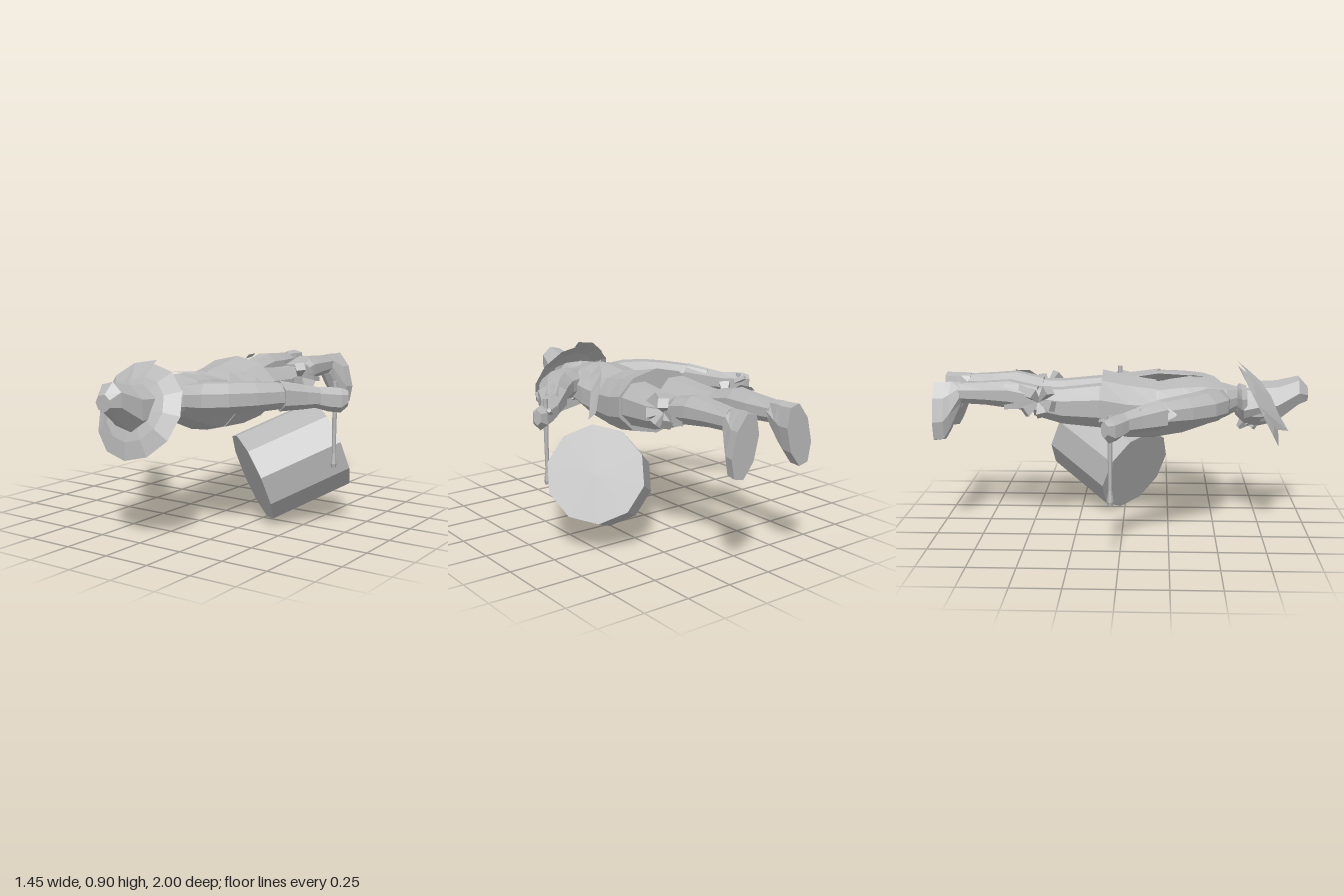
import * as THREE from 'three';

const V = (x, y, z) => new THREE.Vector3(x, y, z);
const UP = V(0, 1, 0);
const cloth = new THREE.MeshStandardMaterial({ color: 0xb8b8b8, flatShading: true, side: THREE.DoubleSide });
cloth.name = 'plain grey';

function add(parent, name, geometry) {
  const mesh = new THREE.Mesh(geometry, cloth);
  mesh.name = name;
  parent.add(mesh);
  return mesh;
}

// Skin elliptical rings [x, y, z, halfWidth, halfHeight]; dir fixes the ring plane,
// otherwise each ring follows the path.
function loft(rings, n = 8, dir = null, up = UP) {
  const grow = 1 / Math.cos(Math.PI / n), pos = [], idx = [];
  rings.forEach(([x, y, z, ru, rv], i) => {
    const a = rings[Math.max(i - 1, 0)], b = rings[Math.min(i + 1, rings.length - 1)];
    const d = dir || V(b[0] - a[0], 0, b[2] - a[2]).normalize();
    const u = up.clone().cross(d);
    for (let k = 0; k < n; k++) {
      const t = ((k + 0.5) / n) * Math.PI * 2;
      const p = V(x, y, z).addScaledVector(u, Math.cos(t) * ru * grow).addScaledVector(up, Math.sin(t) * rv * grow);
      pos.push(p.x, p.y, p.z);
    }
  });
  const last = (rings.length - 1) * n;
  for (let i = 0; i < rings.length - 1; i++) {
    for (let k = 0; k < n; k++) {
      const a = i * n + k, b = i * n + ((k + 1) % n);
      idx.push(a, b, b + n, a, b + n, a + n);
    }
  }
  for (let k = 1; k < n - 1; k++) idx.push(0, k + 1, k, last, last + k, last + k + 1);
  const g = new THREE.BufferGeometry();
  g.setAttribute('position', new THREE.Float32BufferAttribute(pos, 3));
  g.setIndex(idx);
  const flat = g.toNonIndexed();
  flat.computeVertexNormals();
  return flat;
}

// Tapered cylinder between two points
function rod(parent, name, a, b, ra, rb, n) {
  const d = b.clone().sub(a);
  const mesh = add(parent, name, new THREE.CylinderGeometry(rb, ra, d.length(), n));
  mesh.position.copy(a).add(b).multiplyScalar(0.5);
  mesh.quaternion.setFromUnitVectors(UP, d.normalize());
  return mesh;
}

// Flat band along pairs of edge points
function band(parent, name, pairs) {
  const pos = [];
  for (let i = 0; i < pairs.length - 1; i++) {
    const [a, b] = pairs[i], [c, d] = pairs[i + 1];
    pos.push(...a, ...b, ...d, ...a, ...d, ...c);
  }
  const g = new THREE.BufferGeometry();
  g.setAttribute('position', new THREE.Float32BufferAttribute(pos, 3));
  g.computeVertexNormals();
  return add(parent, name, g);
}

function makeSide(s) {
  const side = new THREE.Group();
  side.name = s > 0 ? 'leftLimbs' : 'rightLimbs';
  const flip = (rings) => rings.map(([x, ...r]) => [x * s, ...r]);
  const back = V(0, 0, -1);

  // Breeches, stocking and shoe with the toes turned out
  add(side, 'thigh', loft(flip([
    [0.11, 0.685, 0.0, 0.09, 0.105], [0.127, 0.69, -0.12, 0.108, 0.112],
    [0.135, 0.69, -0.32, 0.093, 0.092], [0.137, 0.71, -0.47, 0.072, 0.07]]), 8, back));
  add(side, 'calf', loft(flip([
    [0.14, 0.725, -0.45, 0.074, 0.066], [0.14, 0.752, -0.6, 0.076, 0.072],
    [0.135, 0.755, -0.73, 0.067, 0.06], [0.14, 0.755, -0.87, 0.05, 0.053]]), 8, back));
  add(side, 'shoe', loft(flip([
    [0.14, 0.752, -0.86, 0.05, 0.058], [0.158, 0.69, -0.915, 0.06, 0.125],
    [0.168, 0.662, -0.945, 0.066, 0.15], [0.174, 0.66, -1, 0.07, 0.154]]),
  8, back, V(-0.24 * s, 0.97, 0)));

  // Garter bow on the outside of the knee
  const knot = V(0.2 * s, 0.72, -0.44);
  [[0.09, 0.06], [0.07, -0.04], [-0.02, 0.08], [-0.08, 0.02], [-0.06, -0.07]].forEach(([y, z]) => {
    rod(side, 'bowLoop', knot, V(0.245 * s, 0.72 + y * 0.8, -0.44 + z), 0.01, 0.038, 4);
  });
  band(side, 'garterTail', [
    [[0.22 * s, 0.74, -0.45], [0.22 * s, 0.70, -0.45]],
    [[0.24 * s, 0.725, -0.54], [0.24 * s, 0.69, -0.54]],
    [[0.235 * s, 0.71, -0.62], [0.235 * s, 0.685, -0.62]]]);
  band(side, 'garterTail', [
    [[0.2 * s, 0.77, -0.46], [0.22 * s, 0.74, -0.46]],
    [[0.21 * s, 0.82, -0.54], [0.24 * s, 0.79, -0.54]],
    [[0.215 * s, 0.82, -0.62], [0.235 * s, 0.80, -0.62]]]);

  // Arm, flared cuff and fist
  add(side, 'sleeve', loft(flip([
    [0.1, 0.705, 0.505, 0.07, 0.07], [0.2, 0.71, 0.47, 0.095, 0.08], [0.295, 0.715, 0.415, 0.093, 0.078],
    [0.38, 0.715, 0.315, 0.083, 0.074], [0.455, 0.715, 0.205, 0.068, 0.066], [0.535, 0.705, 0.09, 0.05, 0.055]])));
  add(side, 'cuff', loft(flip([
    [0.465, 0.712, 0.195, 0.076, 0.068], [0.54, 0.70, 0.085, 0.052, 0.055], [0.59, 0.695, 0.02, 0.042, 0.045]]), 6));
  band(side, 'cuffPoint', [
    [[0.49 * s, 0.77, 0.21], [0.53 * s, 0.66, 0.17]], [[0.52 * s, 0.73, 0.28], [0.525 * s, 0.72, 0.28]]]);
  add(side, 'fist', loft(flip([
    [0.57, 0.695, 0.035, 0.04, 0.045], [0.635, 0.685, -0.01, 0.042, 0.055],
    [0.685, 0.68, -0.045, 0.04, 0.055], [0.715, 0.69, -0.065, 0.02, 0.035]]), 6));
  rod(side, 'thumb', V(0.63 * s, 0.70, -0.04), V(0.66 * s, 0.725, -0.09), 0.022, 0.012, 5);

  // Drumstick, held upright
  const top = s > 0 ? 0.775 : 0.745, x = 0.652 * s, z = -0.042;
  const low = top - 0.45;
  rod(side, 'drumstick', V(x, low + 0.05, z), V(x, top, z), 0.009, 0.014, 6);
  rod(side, 'drumstickTip', V(x, low + 0.02, z), V(x, low + 0.08, z), 0.017, 0.009, 6);
  rod(side, 'drumstickTip', V(x, low, z), V(x, low + 0.02, z), 0.012, 0.017, 6);
  return side;
}

export function createModel() {
  const model = new THREE.Group();
  model.name = 'drummer';
  const ahead = V(0, 0, 1);

  // Doublet and its flared skirt
  add(model, 'torso', loft([
    [0, 0.65, 0.1, 0.175, 0.14], [0, 0.645, 0.19, 0.188, 0.147], [0, 0.665, 0.32, 0.2, 0.143],
    [0, 0.688, 0.435, 0.2, 0.122], [0, 0.70, 0.555, 0.16, 0.085], [0, 0.705, 0.615, 0.08, 0.065]], 10, ahead));
  add(model, 'doubletSkirt', loft([
    [0, 0.685, -0.11, 0.248, 0.168], [0, 0.658, 0.03, 0.222, 0.164], [0, 0.647, 0.18, 0.192, 0.152]], 10, ahead));

  // Head with collar, beard, nose and hair
  add(model, 'collar', loft([
    [0, 0.70, 0.615, 0.08, 0.07], [0, 0.70, 0.635, 0.15, 0.085], [0, 0.70, 0.665, 0.12, 0.075]], 10, ahead));
  add(model, 'head', loft([
    [0, 0.68, 0.61, 0.06, 0.06], [0, 0.665, 0.66, 0.09, 0.09],
    [0, 0.665, 0.73, 0.1, 0.1], [0, 0.67, 0.8, 0.09, 0.09]], 8, ahead));
  rod(model, 'beard', V(0, 0.62, 0.7), V(0, 0.545, 0.63), 0.06, 0.015, 5);
  rod(model, 'nose', V(0, 0.6, 0.74), V(0, 0.545, 0.7), 0.015, 0.022, 4);
  for (const s of [1, -1]) {
    rod(model, 'hair', V(0.085 * s, 0.68, 0.75), V(0.1 * s, 0.66, 0.64), 0.035, 0.045, 5);
    rod(model, 'moustache', V(0.005 * s, 0.57, 0.68), V(0.06 * s, 0.575, 0.665), 0.016, 0.004, 4);
  }

  // Hat: tilted cupped brim, tapering crown, and a broad plume round the right side
  const brim = add(model, 'hatBrim', new THREE.LatheGeometry(
    [[0.252, -0.02], [0.17, 0.016], [0.08, 0.03]].map(([r, y]) => new THREE.Vector2(r, y)), 12));
  brim.position.set(0, 0.67, 0.755);
  brim.rotation.x = 1.09;
  add(model, 'hatCrown', loft([
    [0, 0.685, 0.74, 0.11, 0.105], [0, 0.69, 0.83, 0.1, 0.105],
    [0, 0.75, 0.945, 0.07, 0.075], [0, 0.735, 0.995, 0.042, 0.038]], 7, ahead));
  band(model, 'plume', [
    [[0.02, 0.905, 0.62], [0.015, 0.87, 0.665]], [[-0.1, 0.885, 0.645], [-0.05, 0.81, 0.74]],
    [[-0.19, 0.82, 0.685], [-0.1, 0.74, 0.79]], [[-0.245, 0.71, 0.715], [-0.12, 0.65, 0.83]],
    [[-0.16, 0.57, 0.82], [-0.1, 0.55, 0.89]]]);

  for (const s of [1, -1]) model.add(makeSide(s));

  // Drum, hung at the left hip
  rod(model, 'drum', V(0.215, 0.235, 0.06), V(0.5, 0.405, -0.258), 0.253, 0.253, 10);

  // Strap across the back and down to the drum
  band(model, 'drumStrap', [
    [[-0.02, 0.826, 0.44], [0.04, 0.826, 0.38]], [[0.06, 0.822, 0.34], [0.1, 0.81, 0.36]],
    [[0.15, 0.815, 0.19], [0.2, 0.775, 0.25]], [[0.24, 0.78, 0.07], [0.27, 0.73, 0.12]],
    [[0.36, 0.66, -0.06], [0.38, 0.62, -0.02]]]);
  return model;
}
